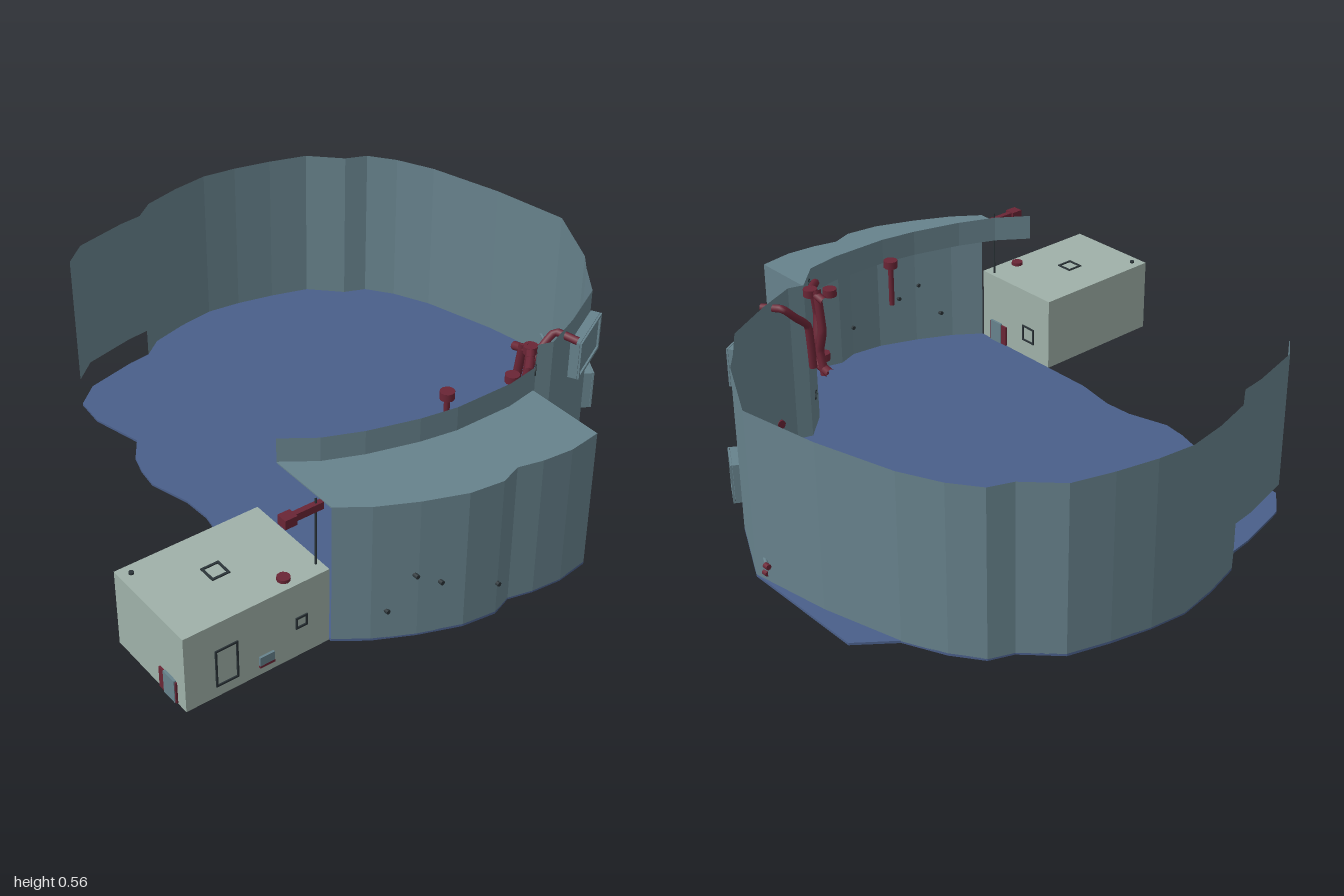
import * as THREE from 'three';

const mat = (name, color, side = THREE.FrontSide) => {
  const m = new THREE.MeshStandardMaterial({ color, side });
  m.name = name;
  return m;
};

export function createModel() {
  const root = new THREE.Group();
  root.name = 'compound';
  const teal = mat('slate teal', 0x67828c, THREE.DoubleSide);
  const blue = mat('floor blue', 0x4a5f8a);
  const pale = mat('pale sage', 0x9fb1a9);
  const red = mat('dark red', 0x6a2535);
  const dark = mat('dark frame', 0x2b3438);

  const add = (name, geo, material, parent = root) => {
    const m = new THREE.Mesh(geo, material);
    m.name = name;
    parent.add(m);
    return m;
  };

  // Upright sheet that follows a plan line of [x, z] points
  const ribbon = (name, pts, y0, y1) => {
    const v = [];
    for (let i = 0; i < pts.length - 1; i++) {
      const [a, b] = pts[i], [c, d] = pts[i + 1];
      v.push(a, y0, b, c, y0, d, c, y1, d, a, y0, b, c, y1, d, a, y1, b);
    }
    const g = new THREE.BufferGeometry();
    g.setAttribute('position', new THREE.Float32BufferAttribute(v, 3));
    g.computeVertexNormals();
    return add(name, g, teal);
  };

  // Flat slab from a plan outline, its top at the given height
  const slab = (name, pts, top, thick, material) => {
    const s = new THREE.Shape(pts.map(([x, z]) => new THREE.Vector2(x, z)));
    const g = new THREE.ExtrudeGeometry(s, { depth: thick, bevelEnabled: false });
    g.rotateX(Math.PI / 2).translate(0, top, 0);
    return add(name, g, material);
  };

  const box = (name, x0, x1, y0, y1, z0, z1, material) =>
    add(name, new THREE.BoxGeometry(x1 - x0, y1 - y0, z1 - z0)
      .translate((x0 + x1) / 2, (y0 + y1) / 2, (z0 + z1) / 2), material);

  // Pipe through a few points, straight between them
  const pipe = (name, pts, r, material) => {
    const path = new THREE.CurvePath();
    const p = pts.map((q) => new THREE.Vector3(...q));
    for (let i = 0; i < p.length - 1; i++) path.add(new THREE.LineCurve3(p[i], p[i + 1]));
    const curve = p.length > 2 ? new THREE.CatmullRomCurve3(p, false, 'catmullrom', 0.2) : path;
    return add(name, new THREE.TubeGeometry(curve, p.length > 2 ? p.length * 5 : 1, r, 8), material);
  };

  // Short closed cylinder at a point, along x, y or z
  const disc = (name, x, y, z, r, h, axis, material) => {
    const g = new THREE.CylinderGeometry(r, r, h, 12);
    if (axis === 'x') g.rotateZ(Math.PI / 2);
    if (axis === 'z') g.rotateX(Math.PI / 2);
    return add(name, g.translate(x, y, z), material);
  };

  // Rectangular frame, centred and turned about y, facing its own +z
  const frame = (name, w, h, t, depth, x, y, z, turn, material) => {
    const s = new THREE.Shape([[-w, -h], [w, -h], [w, h], [-w, h]]
      .map(([a, b]) => new THREE.Vector2(a / 2, b / 2)));
    const k = new THREE.Path([[t - w / 2, t - h / 2], [t - w / 2, h / 2 - t],
      [w / 2 - t, h / 2 - t], [w / 2 - t, t - h / 2]].map(([a, b]) => new THREE.Vector2(a, b)));
    s.holes.push(k);
    const m = add(name, new THREE.ExtrudeGeometry(s, { depth, bevelEnabled: false }), material);
    m.position.set(x, y, z);
    m.rotation.y = turn;
    return m;
  };

  // Plan lines
  const left = [[-0.5, -0.88], [-0.63, -0.82], [-0.72, -0.755], [-0.75, -0.68], [-0.85, -0.58],
    [-0.89, -0.45], [-0.92, -0.32], [-0.935, -0.2], [-0.915, -0.07], [-0.88, 0.06], [-0.825, 0.13]];
  const front = [[-0.815, 0.21], [-0.77, 0.39], [-0.7, 0.47], [-0.59, 0.48], [-0.41, 0.435],
    [-0.33, 0.49], [-0.26, 0.51], [-0.18, 0.52], [-0.04, 0.48], [0.06, 0.475], [0.2, 0.5], [0.48, 0.5]];
  const right = [[0.645, -0.31], [0.56, -0.4], [0.575, -0.45], [0.52, -0.58], [0.43, -0.75],
    [0.32, -0.83], [0.26, -0.88], [0.03, -0.995]];
  const inner = [[0.48, 0.5], [0.55, 0.4], [0.6, 0.28], [0.645, 0.12], [0.665, 0], [0.665, -0.2], [0.645, -0.31]];
  const outer = [[0.735, 0.5], [0.8, 0.41], [0.86, 0.29], [0.91, 0.16], [0.925, 0.05], [0.9, -0.02],
    [0.92, -0.1], [0.93, -0.2], [0.915, -0.31], [0.645, -0.31]];

  // Floor, tall wall, side room
  slab('floor', [...left, ...front, ...outer, ...right.slice(1), [-0.41, -0.995]], 0.012, 0.008, blue);
  ribbon('mainWall', [...right, [-0.24, -0.95], ...left], 0.01, 0.565);
  ribbon('raisedWallEnd', [[-0.825, 0.13], ...front.slice(0, 3)], 0.11, 0.565);
  ribbon('upperBand', inner, 0.48, 0.565);
  ribbon('sideRoomWall', outer, 0.01, 0.484);
  slab('sideRoomRoof', [...inner, ...outer.slice(0, -1).reverse()], 0.485, 0.004, teal);

  // Wall windows: thin box with a raised frame, each facing outward
  const wallWindow = (x, y, z, w, h, turn) => {
    const p = add('windowPanel', new THREE.BoxGeometry(w, h, 0.03), teal);
    p.position.set(x, y, z);
    p.rotation.y = turn;
    const d = 0.016;
    frame('windowFrame', w, h, 0.01, 0.006, x + Math.sin(turn) * d, y, z + Math.cos(turn) * d, turn, teal);
  };
  wallWindow(0.5, 0.435, -0.66, 0.2, 0.13, 2.06);
  wallWindow(0.345, 0.142, -0.835, 0.11, 0.135, 2.62);

  // Hut
  box('hut', 0.385, 0.73, 0.008, 0.268, 0.503, 0.985, pale);
  for (const z of [0.987, 0.501]) {
    box('doorSurround', 0.605, 0.69, 0.012, 0.085, z - 0.004, z + 0.004, red);
    box('doorPanel', 0.63, 0.685, 0.012, 0.09, z - 0.006, z + 0.006, teal);
  }
  frame('hutBackWindow', 0.06, 0.06, 0.006, 0.004, 0.49, 0.1, 0.503, Math.PI, dark);
  frame('hutSideDoorFrame', 0.075, 0.13, 0.006, 0.004, 0.73, 0.11, 0.85, Math.PI / 2, dark);
  box('hutSideVent', 0.73, 0.737, 0.045, 0.075, 0.695, 0.745, teal);
  box('hutVentSill', 0.73, 0.737, 0.037, 0.045, 0.695, 0.745, red);
  frame('hutSideWindow', 0.04, 0.04, 0.006, 0.004, 0.73, 0.13, 0.6, Math.PI / 2, dark);
  frame('roofHatch', 0.06, 0.06, 0.007, 0.004, 0.55, 0.268, 0.76, 0, dark).rotation.x = -Math.PI / 2;
  disc('roofCap', 0.42, 0.27, 0.95, 0.008, 0.008, 'y', dark);
  disc('roofValve', 0.69, 0.273, 0.63, 0.02, 0.012, 'y', red);
  pipe('roofRod', [[0.69, 0.268, 0.52], [0.69, 0.5, 0.52]], 0.003, dark);

  // Outlet pipe above the hut
  box('outletPipe', 0.682, 0.7, 0.458, 0.482, 0.5, 0.62, red);
  box('outletMouth', 0.673, 0.71, 0.455, 0.485, 0.595, 0.635, red);

  // Red pipework inside the wall
  pipe('elbowPipe', [[0.58, 0.53, -0.55], [0.51, 0.54, -0.52], [0.5, 0.5, -0.48], [0.505, 0.45, -0.43],
    [0.505, 0.3, -0.42]], 0.013, red);
  pipe('risingPipe', [[0.5, 0.26, -0.38], [0.52, 0.34, -0.38], [0.5, 0.42, -0.38], [0.52, 0.56, -0.38]], 0.014, red);
  pipe('backPipe', [[0.57, 0.26, -0.36], [0.56, 0.36, -0.36], [0.58, 0.44, -0.34], [0.57, 0.55, -0.36]], 0.014, red);
  pipe('crossPipe', [[0.47, 0.275, -0.38], [0.57, 0.285, -0.37], [0.61, 0.29, -0.32]], 0.016, red);
  pipe('topPipe', [[0.48, 0.53, -0.38], [0.55, 0.545, -0.38], [0.61, 0.53, -0.32]], 0.014, red);
  for (const [x, y, z] of [[0.54, 0.545, -0.39], [0.575, 0.5, -0.29], [0.56, 0.29, -0.34], [0.56, 0.53, -0.05]])
    disc('pipeFlange', x, y, z, 0.023, 0.025, 'y', red);
  pipe('standPipe', [[0.56, 0.38, -0.05], [0.56, 0.53, -0.05]], 0.009, red);

  // Low service lines along the back wall
  const backZ = (x) => -0.968 + (x - 0.03) * 0.48;
  for (const line of [[[-0.04, 0.08], [0.03, 0.085], [0.08, 0.078], [0.24, 0.08]],
    [[-0.01, 0.035], [0.08, 0.035], [0.12, 0.058], [0.2, 0.06], [0.26, 0.058]]]) {
    const pts = line.map(([x, y]) => [x, y, backZ(x)]);
    pipe('serviceLine', pts, 0.006, teal);
    for (const [x, y, z] of [pts[0], pts[pts.length - 1]]) disc('lineEnd', x, y, z, 0.009, 0.018, 'x', red);
  }

  // Valve, ring seals and bolts on the outside
  disc('wallValve', 0.545, 0.12, -0.54, 0.016, 0.03, 'x', red);
  for (const y of [0.12, 0.53]) {
    const ring = add('ringSeal', new THREE.TorusGeometry(0.015, 0.003, 6, 16), dark);
    ring.position.set(0.618, y, -0.34);
    ring.rotation.y = 2.33;
  }
  for (const [x, y, z] of [[0.86, 0.23, 0.3], [0.885, 0.19, 0.23], [0.82, 0.11, 0.37], [0.925, 0.12, 0.05]])
    disc('wallBolt', x, y, z, 0.007, 0.02, 'x', dark);

  return root;
}
